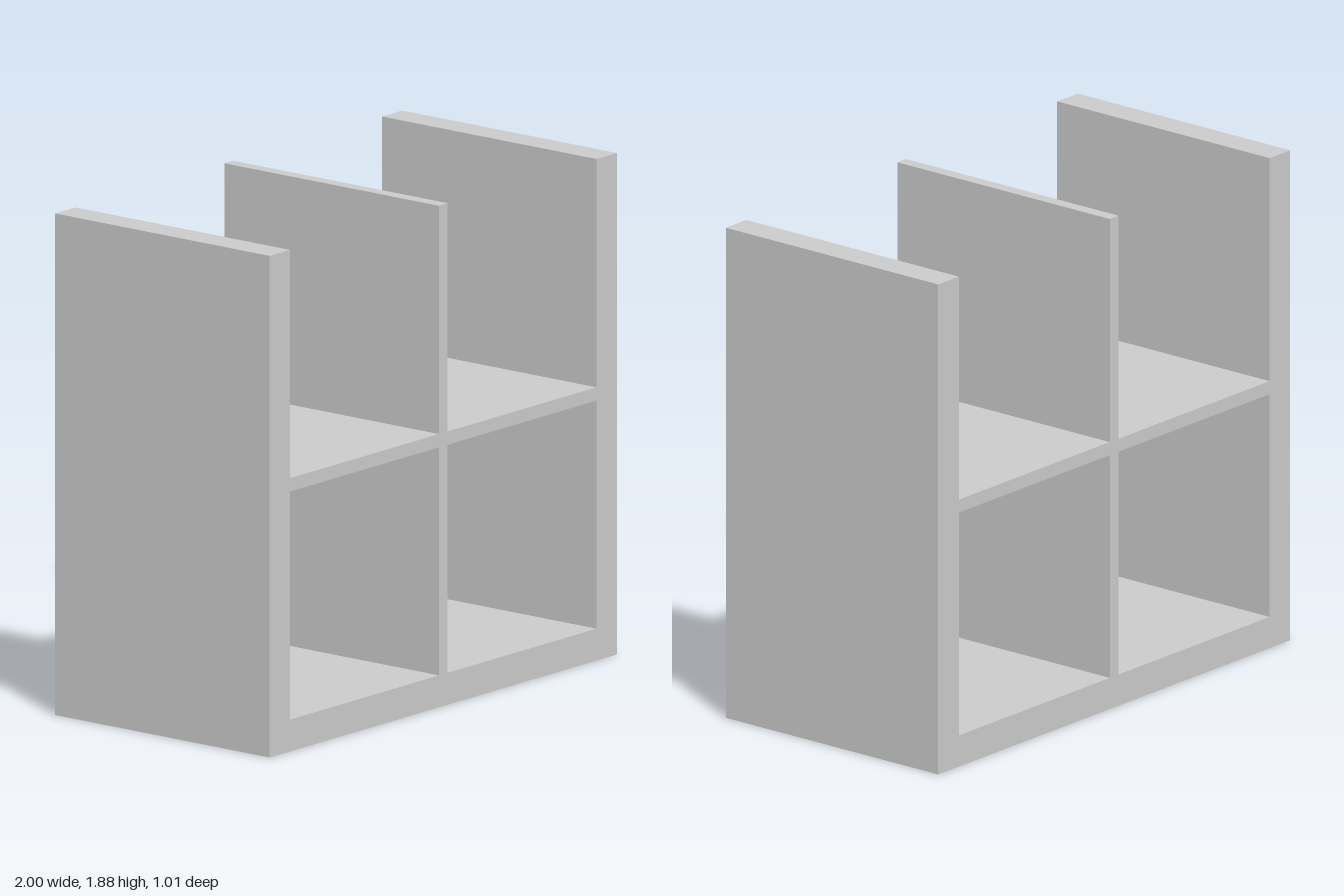
import * as THREE from 'three';

const DEPTH = 1.01;
const HEIGHT = 1.885;
const INNER = 0.883;   // inner face of the side walls
const FLOOR = 0.12;    // top of the floor slab
const SHELF = [0.977, 1.027];
const HALF_DIVIDER = 0.025;

export function createModel() {
  const group = new THREE.Group();
  group.name = 'openShelfUnit';
  const material = new THREE.MeshStandardMaterial({ color: 0xcccccc });

  // Full-depth board spanning x0..x1 and y0..y1
  function board(name, x0, x1, y0, y1) {
    const mesh = new THREE.Mesh(new THREE.BoxGeometry(x1 - x0, y1 - y0, DEPTH), material);
    mesh.position.set((x0 + x1) / 2, (y0 + y1) / 2, 0);
    mesh.name = name;
    group.add(mesh);
  }

  // Thick outer frame, open at the top, front and back
  board('floor', -INNER, INNER, 0, FLOOR);
  board('leftWall', INNER, 1, 0, HEIGHT);
  board('rightWall', -1, -INNER, 0, HEIGHT);

  // Thin centre divider with a shelf on each side
  board('divider', -HALF_DIVIDER, HALF_DIVIDER, FLOOR, HEIGHT);
  board('leftShelf', HALF_DIVIDER, INNER, ...SHELF);
  board('rightShelf', -INNER, -HALF_DIVIDER, ...SHELF);

  return group;
}
